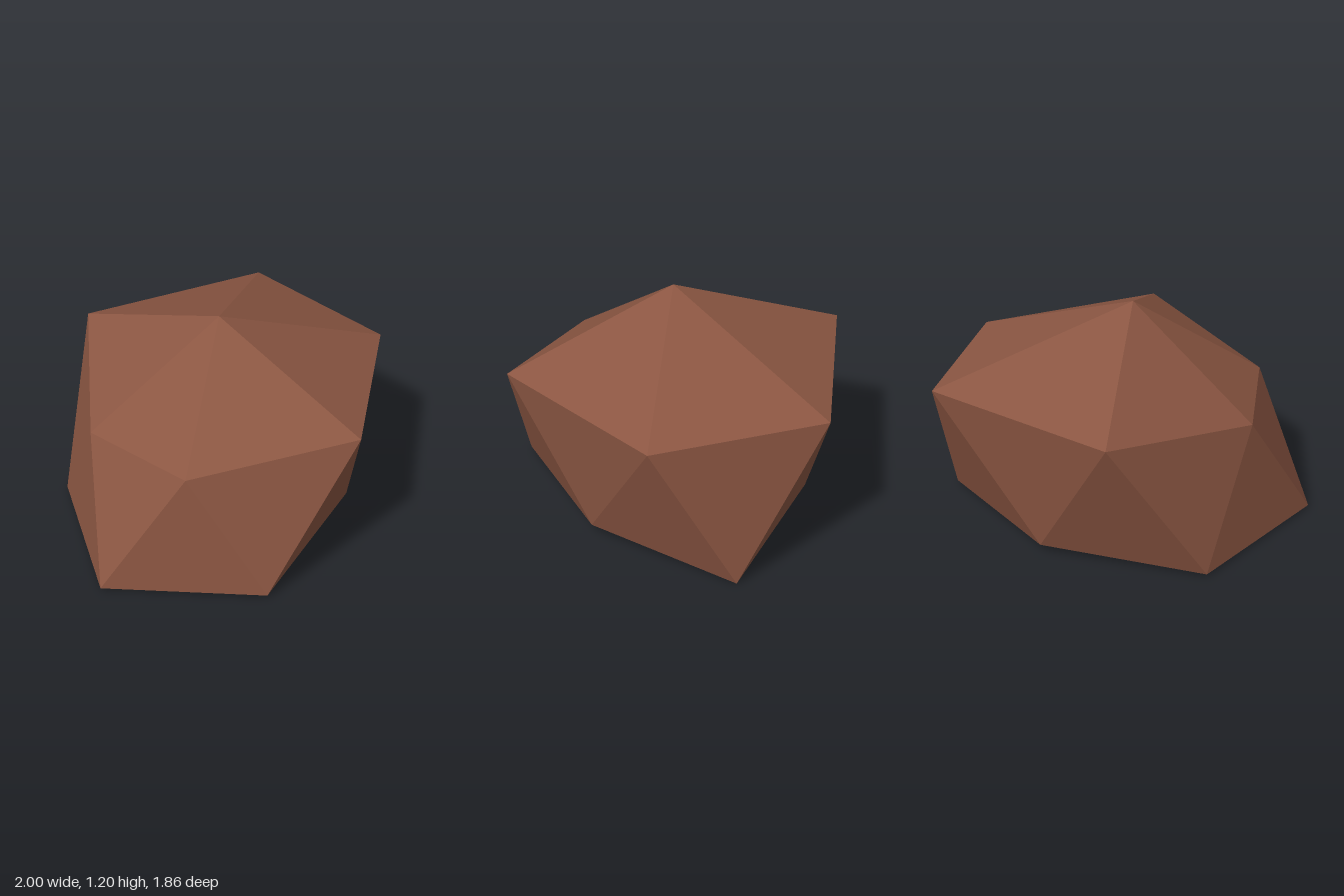
import * as THREE from 'three';

export function createModel() {
  const brownStone = new THREE.MeshStandardMaterial({ color: 0x8b5642, flatShading: true });

  // Two staggered six-point rings, each closed by a centre point
  const crown = [-0.015, 1.2, 0.02];
  const upper = [
    [0.89, 0.81, 0.45], [-0.015, 0.83, 0.925], [-0.68, 0.69, 0.34],
    [-0.68, 0.69, -0.3], [-0.015, 0.85, -0.93], [0.96, 0.85, -0.46],
  ];
  const lower = [
    [1, 0, 0.02], [0.39, 0.07, 0.61], [-0.5, 0.015, 0.73],
    [-1, 0.015, 0.02], [-0.5, 0.015, -0.7], [0.39, 0.05, -0.61],
  ];
  const base = [-0.015, 0.025, 0.02];

  const points = [];
  for (let i = 0; i < 6; i++) {
    const j = (i + 1) % 6;
    points.push(
      crown, upper[j], upper[i],      // sloping top
      upper[i], upper[j], lower[j],   // downward side facet
      upper[i], lower[j], lower[i],   // upward side facet
      base, lower[i], lower[j],       // underside
    );
  }

  const geometry = new THREE.BufferGeometry();
  geometry.setAttribute('position', new THREE.Float32BufferAttribute(points.flat(), 3));
  geometry.computeVertexNormals();

  const rock = new THREE.Mesh(geometry, brownStone);
  rock.name = 'rock';
  const group = new THREE.Group();
  group.name = 'boulder';
  group.add(rock);
  return group;
}
